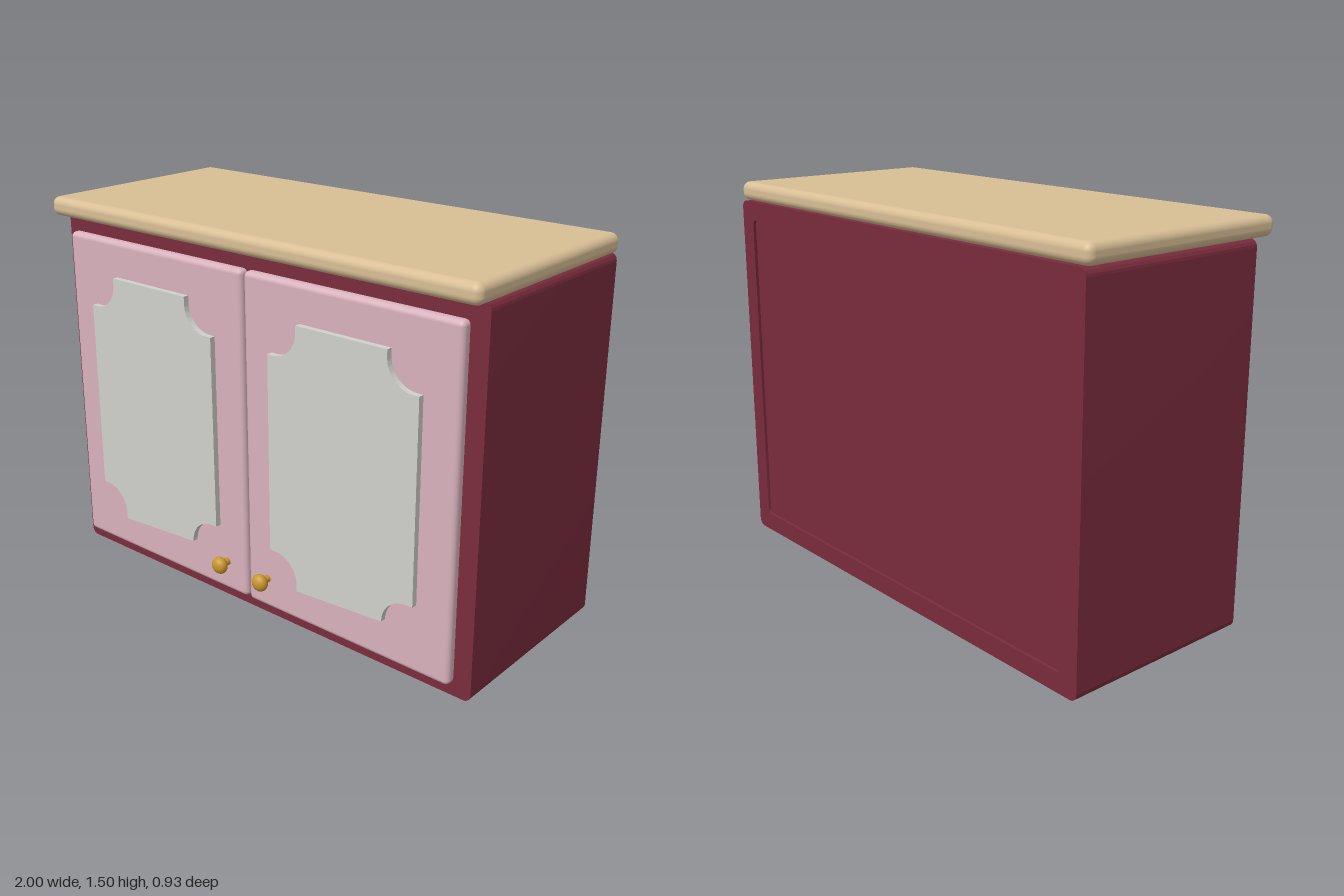
import * as THREE from 'three';
import { toCreasedNormals } from 'three/addons/utils/BufferGeometryUtils.js';
import { RoundedBoxGeometry } from 'three/addons/geometries/RoundedBoxGeometry.js';

const material = (name, color) => {
  const m = new THREE.MeshStandardMaterial({ color });
  m.name = name;
  return m;
};

// Rounded rectangle traced on a Shape or Path
function roundedRect(path, x0, y0, x1, y1, r) {
  path.moveTo(x0 + r, y0);
  path.lineTo(x1 - r, y0);
  path.absarc(x1 - r, y0 + r, r, -Math.PI / 2, 0);
  path.lineTo(x1, y1 - r);
  path.absarc(x1 - r, y1 - r, r, 0, Math.PI / 2);
  path.lineTo(x0 + r, y1);
  path.absarc(x0 + r, y1 - r, r, Math.PI / 2, Math.PI);
  path.lineTo(x0, y0 + r);
  path.absarc(x0 + r, y0 + r, r, Math.PI, Math.PI * 1.5);
  return path;
}

// Rectangle with a scooped notch and a small step at every corner
function notchedPanel(w, h, notch, step) {
  const s = new THREE.Shape();
  const X = w / 2, Y = h / 2, r = notch - step;
  const corners = [[1, -1, Math.PI], [1, 1, Math.PI * 1.5], [-1, 1, 0], [-1, -1, Math.PI / 2]];
  corners.forEach(([sx, sy, start], i) => {
    const cx = sx * (X - step), cy = sy * (Y - step);
    const horizontal = [sx * (X - notch), sy * Y], vertical = [sx * X, sy * (Y - notch)];
    const [enter, leave] = i % 2 === 0 ? [horizontal, vertical] : [vertical, horizontal];
    if (i === 0) s.moveTo(...enter); else s.lineTo(...enter);
    s.absarc(cx, cy, r, start, start - Math.PI / 2, true);
    s.lineTo(...leave);
  });
  s.closePath();
  return s;
}

const extrude = (shape, depth) => toCreasedNormals(
  new THREE.ExtrudeGeometry(shape, { depth, bevelEnabled: false, curveSegments: 12 }), 0.6);

export function createModel() {
  const group = new THREE.Group();
  group.name = 'wallCabinet';
  const burgundy = material('burgundy paint', 0x7a2c3d);
  const pink = material('pink paint', 0xd8b2bc);
  const wood = material('pale wood', 0xd8be95);
  const glass = material('grey glass', 0xd0d1cc);
  const brass = material('brass', 0xc8962c);

  function add(parent, name, geometry, mat, x = 0, y = 0, z = 0) {
    const mesh = new THREE.Mesh(geometry, mat);
    mesh.name = name;
    mesh.position.set(x, y, z);
    parent.add(mesh);
    return mesh;
  }

  // Carcass: rounded sleeve closed by slightly recessed panels
  const sleeve = roundedRect(new THREE.Shape(), -0.99, 0, 0.99, 1.43, 0.03);
  sleeve.holes.push(roundedRect(new THREE.Path(), -0.915, 0.075, 0.915, 1.355, 0.02));
  add(group, 'carcass', extrude(sleeve, 0.805), burgundy, 0, 0, -0.465);
  add(group, 'backPanel', new THREE.BoxGeometry(1.86, 1.31, 0.02), burgundy, 0, 0.715, -0.443);
  add(group, 'frontPanel', new THREE.BoxGeometry(1.86, 1.31, 0.02), burgundy, 0, 0.715, 0.318);

  // Worktop
  add(group, 'worktop', new RoundedBoxGeometry(2, 0.075, 0.89, 5, 0.03), wood, 0, 1.4675, -0.02);

  // Knob profile, turned about its own axis
  const knobShape = new THREE.SphereGeometry(0.034, 24, 16).scale(1, 1, 0.76);
  const stemShape = new THREE.CylinderGeometry(0.015, 0.015, 0.04, 16).rotateX(Math.PI / 2);

  // Pair of doors with raised panels and knobs
  for (const side of [1, -1]) {
    const door = new THREE.Group();
    door.name = side > 0 ? 'leftDoor' : 'rightDoor';
    group.add(door);
    add(door, 'doorSlab', new RoundedBoxGeometry(0.925, 1.305, 0.05, 5, 0.02), pink, side * 0.4675, 0.7175, 0.37);
    add(door, 'doorGlass', extrude(notchedPanel(0.65, 1.025, 0.13, 0.025), 0.03), glass, side * 0.465, 0.7175, 0.388);
    add(door, 'knobStem', stemShape, brass, side * 0.105, 0.19, 0.41);
    add(door, 'knob', knobShape, brass, side * 0.105, 0.19, 0.44);
  }
  return group;
}
